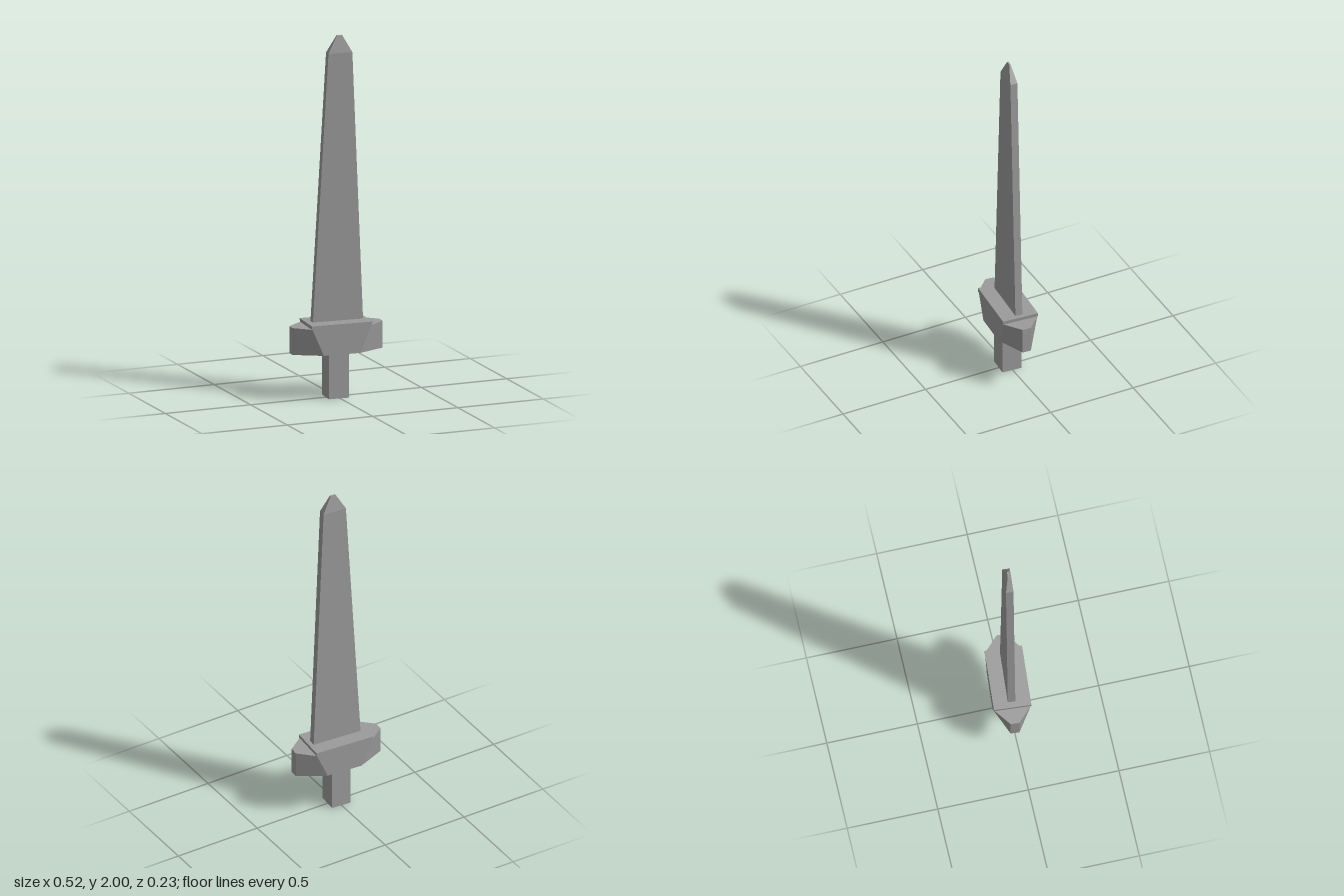
import * as THREE from 'three';

const material = new THREE.MeshStandardMaterial({ color: 0x9b9b9b });

// Solid through stacked rings of [x, y, z], each anticlockwise from above.
// Every facet has one normal, so slightly twisted quads still look flat.
function loft(name, rings) {
  const pos = [], normals = [];
  const facet = (normal, ...points) => points.forEach((p) => {
    pos.push(...p);
    normals.push(...normal);
  });
  const diagonal = (a, b) => new THREE.Vector3(...b).sub(new THREE.Vector3(...a));
  const n = rings[0].length;
  for (let r = 0; r < rings.length - 1; r++) {
    const lo = rings[r], hi = rings[r + 1];
    for (let i = 0; i < n; i++) {
      const j = (i + 1) % n;
      const normal = diagonal(lo[i], hi[j]).cross(diagonal(lo[j], hi[i])).normalize();
      facet(normal, lo[i], lo[j], hi[j], lo[i], hi[j], hi[i]);
    }
  }
  const bottom = rings[0], top = rings[rings.length - 1];
  for (let i = 1; i < n - 1; i++) {
    facet([0, -1, 0], bottom[0], bottom[i + 1], bottom[i]);
    facet([0, 1, 0], top[0], top[i], top[i + 1]);
  }
  const geometry = new THREE.BufferGeometry();
  geometry.setAttribute('position', new THREE.Float32BufferAttribute(pos, 3));
  geometry.setAttribute('normal', new THREE.Float32BufferAttribute(normals, 3));
  const mesh = new THREE.Mesh(geometry, material);
  mesh.name = name;
  return mesh;
}

// Rectangle ring with half sizes hx, hz around (cx, cz)
const rect = (y, hx, hz, cx = 0, cz = 0) =>
  [[1, 1], [1, -1], [-1, -1], [-1, 1]].map(([sx, sz]) => [cx + sx * hx, y, cz + sz * hz]);

// Eight-cornered guard ring: wide middle of half length hx, narrow wing ends
function guardRing(y, hx) {
  const end = 0.257, endZ = 0.024, z = 0.1;
  return [[end, endZ], [end, -endZ], [hx, -z], [-hx, -z], [-end, -endZ], [-end, endZ], [-hx, z], [hx, z]]
    .map(([x, zz]) => [x, y, zz]);
}

export function createModel() {
  const sword = new THREE.Group();
  sword.name = 'sword';

  // Square grip
  sword.add(loft('grip', [rect(0, 0.0565, 0.0555, -0.003), rect(0.27, 0.0565, 0.0555, -0.003)]));

  // Winged guard, narrower in the middle at the bottom, with a thin plate on top
  sword.add(loft('guard', [guardRing(0.254, 0.103), guardRing(0.403, 0.168)]));
  sword.add(loft('guardPlate', [rect(0.4, 0.17, 0.102), rect(0.423, 0.172, 0.102)]));

  // Tapering blade with a short blunt point
  sword.add(loft('blade', [
    rect(0.415, 0.143, 0.0205, 0.0045, -0.001),
    rect(1.905, 0.068, 0.0205, 0.0175, 0.002),
    rect(2, 0.015, 0.004, 0.018, 0.003),
  ]));

  // The whole sword is turned slightly about its length
  sword.rotation.y = -0.073;
  const model = new THREE.Group();
  model.add(sword);
  return model;
}
